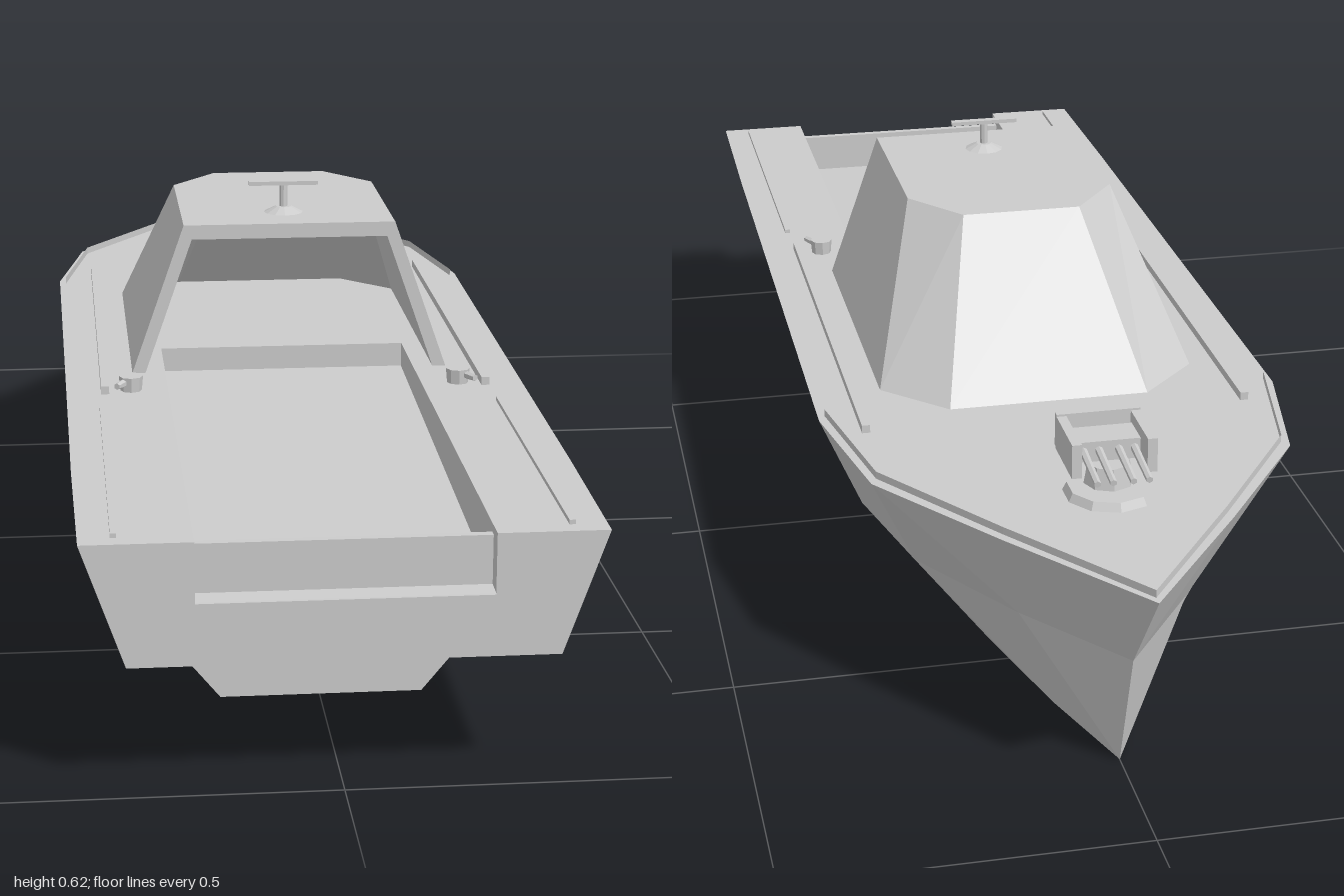
import * as THREE from 'three';

const mat = new THREE.MeshStandardMaterial({ color: 0xcccccc, flatShading: true, side: THREE.DoubleSide });
const DECK = 0.342, WELL = 0.19, WELL_END = 0.1;

function add(parent, name, geometry, x = 0, y = 0, z = 0) {
  const mesh = new THREE.Mesh(geometry, mat);
  mesh.name = name;
  mesh.position.set(x, y, z);
  parent.add(mesh);
  return mesh;
}

// Strip of quads between two polylines with the same number of points
function ribbon(a, b) {
  const pos = [];
  for (let i = 0; i < a.length - 1; i++) {
    pos.push(...a[i], ...b[i], ...b[i + 1], ...a[i], ...b[i + 1], ...a[i + 1]);
  }
  const g = new THREE.BufferGeometry();
  g.setAttribute('position', new THREE.Float32BufferAttribute(pos, 3));
  g.computeVertexNormals();
  return g;
}

// Horizontal plate from [x, z] points
function plate(points) {
  const shape = new THREE.Shape(points.map(([x, z]) => new THREE.Vector2(x, -z)));
  return new THREE.ShapeGeometry(shape).rotateX(-Math.PI / 2);
}

const mirror = (line) => line.map(([x, y, z]) => [-x, y, z]);
const around = (line) => [...line, ...mirror(line).reverse()];

function createHull() {
  const hull = new THREE.Group();
  hull.name = 'hull';

  // Edge lines of the left half, stern to bow
  const sheer = [[0.335, DECK, 1], [0.339, DECK, 0.71], [0.345, DECK, -0.35],
    [0.303, DECK, -0.57], [0.16, DECK, -0.77], [0, DECK, -0.98]];
  const chine = [[0.277, 0.177, 1], [0.277, 0.177, 0.71], [0.277, 0.177, -0.3],
    [0.232, 0.18, -0.5], [0.12, 0.184, -0.69], [0, 0.19, -0.86]];
  const keel = [[0.14, 0.01, 0.71], [0.14, 0.01, -0.25],
    [0.112, 0.007, -0.45], [0.058, 0.004, -0.64], [0, 0, -0.8]];

  for (const side of [(l) => l, mirror]) {
    add(hull, 'upperSide', ribbon(side(sheer), side(chine)));
    add(hull, 'lowerSide', ribbon(side(chine.slice(1)), side(keel)));
  }
  add(hull, 'bottom', ribbon(keel, mirror(keel)));
  add(hull, 'sternOverhang', ribbon(chine.slice(0, 2), mirror(chine.slice(0, 2))));
  add(hull, 'sternStep', ribbon([chine[1], keel[0]], mirror([chine[1], keel[0]])));

  // Transom with a notch for the well
  const transom = new THREE.Shape([[-0.335, DECK], [-0.277, 0.177], [0.277, 0.177], [0.335, DECK],
    [WELL, DECK], [WELL, 0.26], [-WELL, 0.26], [-WELL, DECK]].map((p) => new THREE.Vector2(...p)));
  add(hull, 'transom', new THREE.ShapeGeometry(transom), 0, 0, 1);

  // Deck plate cut open around the well
  const half = sheer.map(([x, , z]) => [x, z]);
  add(hull, 'deck', plate([...half, ...half.slice(0, -1).reverse().map(([x, z]) => [-x, z]),
    [-WELL, 1], [-WELL, WELL_END], [WELL, WELL_END], [WELL, 1]]), 0, DECK, 0);

  // Well with a gently rising floor and a low tailgate
  const floor = [[WELL, 0.262, 1], [WELL, 0.265, 0.96], [WELL, 0.305, WELL_END]];
  const rim = floor.map(([x, , z]) => [x, DECK, z]);
  add(hull, 'wellFloor', ribbon(floor, mirror(floor)));
  add(hull, 'wellWallLeft', ribbon(rim, floor));
  add(hull, 'wellWallRight', ribbon(mirror(rim), mirror(floor)));
  add(hull, 'wellFrontWall', ribbon([rim[2], floor[2]], mirror([rim[2], floor[2]])));
  add(hull, 'tailgate', new THREE.BoxGeometry(2 * WELL, 0.066, 0.012), 0, 0.297, 0.966);

  // Low lip following the deck edge around the bow
  const lipBase = sheer.slice(2).map(([x, y, z]) => [x * 0.97, y, z + 0.015]);
  const lipTop = lipBase.map(([x, y, z]) => [x, y + 0.011, z]);
  add(hull, 'bowLip', ribbon(around(lipBase), around(lipTop)));
  for (const s of [-1, 1]) {
    add(hull, 'sideRail', new THREE.BoxGeometry(0.012, 0.012, 0.75), s * 0.284, DECK + 0.006, -0.03);
    add(hull, 'sternRail', new THREE.BoxGeometry(0.008, 0.006, 0.55), s * 0.29, DECK + 0.003, 0.7);
  }
  return hull;
}

function createCabin() {
  const cabin = new THREE.Group();
  cabin.name = 'cabin';
  const base = around([[0.24, DECK, 0.235], [0.24, DECK, -0.26], [0.15, DECK, -0.35]]);
  const top = around([[0.16, 0.57, 0.235], [0.16, 0.57, -0.06], [0.09, 0.57, -0.15]]);
  const innerBase = around([[0.22, DECK, 0.235], [0.22, DECK, -0.25], [0.14, DECK, -0.33]]);
  const innerTop = around([[0.148, 0.548, 0.235], [0.148, 0.548, -0.05], [0.082, 0.548, -0.135]]);
  const flat = (line) => plate(line.map(([x, , z]) => [x, z]));

  add(cabin, 'cabinShell', ribbon(base, top));
  add(cabin, 'cabinLining', ribbon(innerBase, innerTop));
  add(cabin, 'roof', flat(top), 0, 0.57, 0);
  add(cabin, 'ceiling', flat(innerTop), 0, 0.548, 0);
  // Frame around the open rear
  add(cabin, 'rearFrame', ribbon(around([base[0], top[0]]), around([innerBase[0], innerTop[0]])));
  return cabin;
}

function createRadar() {
  const radar = new THREE.Group();
  radar.name = 'radar';
  add(radar, 'radarFoot', new THREE.CylinderGeometry(0.012, 0.03, 0.009, 12), 0, 0.0045, 0);
  add(radar, 'radarPost', new THREE.CylinderGeometry(0.006, 0.006, 0.036, 8), 0, 0.025, 0);
  add(radar, 'radarBar', new THREE.BoxGeometry(0.106, 0.006, 0.012), 0, 0.045, 0);
  radar.position.set(-0.002, 0.57, 0.15);
  return radar;
}

function createDeckGun() {
  const gun = new THREE.Group();
  gun.name = 'deckGun';
  add(gun, 'gunPlate', new THREE.CylinderGeometry(0.06, 0.066, 0.012, 10), 0, 0.006, -0.01);
  add(gun, 'gunPedestal', new THREE.CylinderGeometry(0.03, 0.036, 0.035, 8), 0, 0.025, 0);
  add(gun, 'gunShieldBack', new THREE.BoxGeometry(0.12, 0.05, 0.01), 0, 0.065, 0.065);
  for (const s of [-1, 1]) {
    add(gun, 'gunShieldSide', new THREE.BoxGeometry(0.014, 0.05, 0.1), s * 0.053, 0.062, 0.015);
    for (const x of [0.014, 0.036]) {
      const barrel = add(gun, 'gunBarrel', new THREE.CylinderGeometry(0.005, 0.006, 0.13, 6), s * x, 0.058, -0.02);
      barrel.rotation.x = -Math.PI / 2 - 0.12;
    }
  }
  add(gun, 'gunBreech', new THREE.BoxGeometry(0.09, 0.03, 0.05), 0, 0.058, 0.025);
  gun.position.set(-0.015, DECK, -0.65);
  return gun;
}

function createBollard(side) {
  const bollard = new THREE.Group();
  bollard.name = 'bollard';
  add(bollard, 'bollardPost', new THREE.CylinderGeometry(0.018, 0.016, 0.022, 8), 0, 0.011, 0);
  const arm = add(bollard, 'bollardArm', new THREE.CylinderGeometry(0.005, 0.007, 0.04, 6), side * 0.012, 0.014, 0.012);
  arm.rotation.set(Math.PI / 2, 0, side * -0.5);
  bollard.position.set(side * 0.245, DECK, 0.325);
  return bollard;
}

export function createModel() {
  const boat = new THREE.Group();
  boat.name = 'patrolBoat';
  boat.add(createHull(), createCabin(), createRadar(), createDeckGun(), createBollard(1), createBollard(-1));
  return boat;
}
